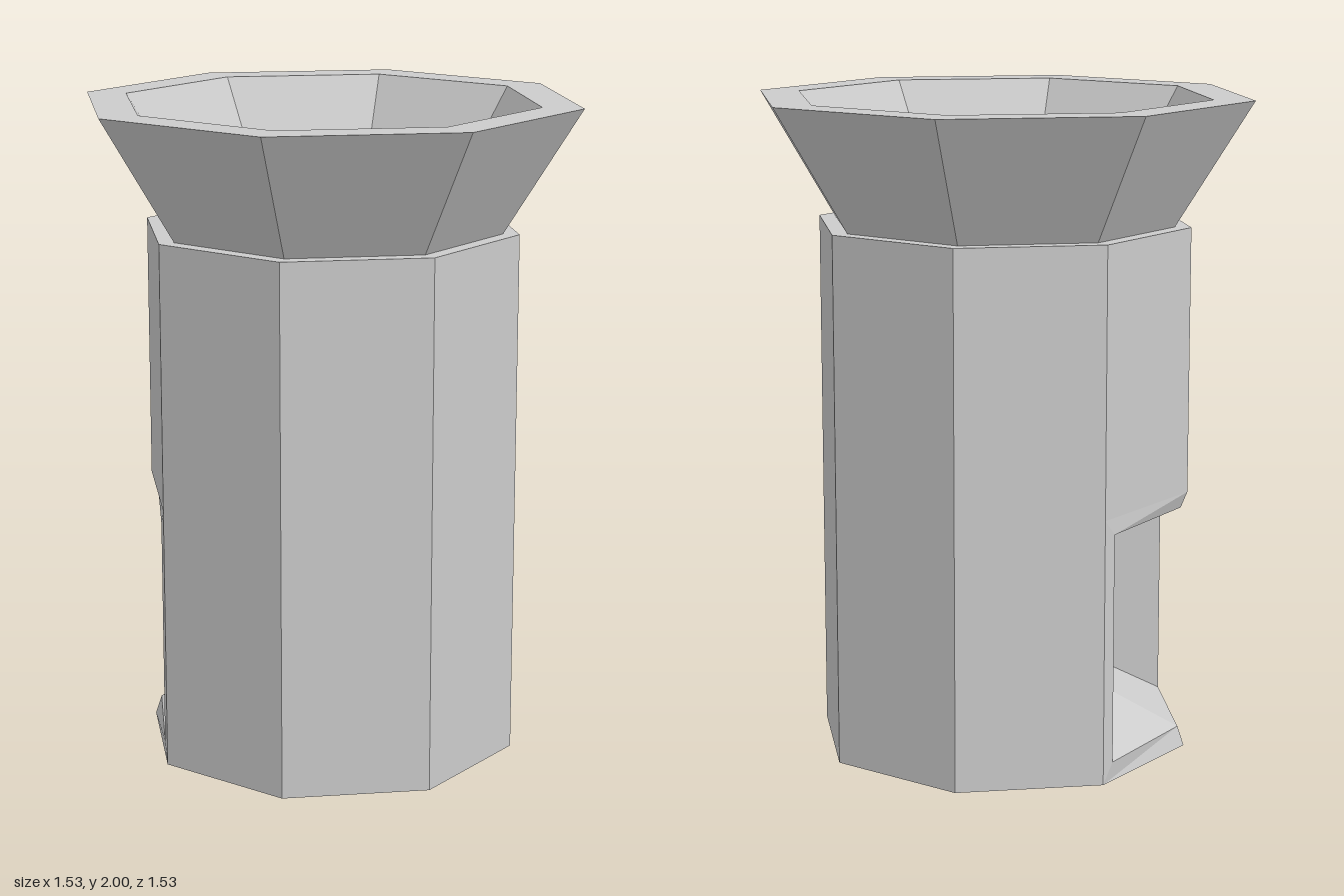
import * as THREE from 'three';

const SIDES = 8;
const R = 0.58;   // body radius
const H = 1.62;   // body height
const HATCH = 0.81; // top of the opening

const material = new THREE.MeshStandardMaterial({
  color: 0xcccccc, flatShading: true, side: THREE.DoubleSide,
});

// Point on the octagonal body, corners lying on the axes
const corner = (i, y) => {
  const a = (i / SIDES) * Math.PI * 2;
  return [R * Math.sin(a), y, R * Math.cos(a)];
};

// Flat mesh from a list of four-cornered faces
function quadMesh(name, quads) {
  const pos = [];
  for (const [a, b, c, d] of quads) pos.push(...a, ...b, ...c, ...a, ...c, ...d);
  const geo = new THREE.BufferGeometry();
  geo.setAttribute('position', new THREE.Float32BufferAttribute(pos, 3));
  geo.computeVertexNormals();
  const mesh = new THREE.Mesh(geo, material);
  mesh.name = name;
  return mesh;
}

// Six-point loop of a folded opening: side edges at (xSide, +-z), middle fold at xMid
const loop = (xSide, xMid, z, y0, y1) => [
  [xSide, y0, -z], [xMid, y0, 0], [xSide, y0, z],
  [xSide, y1, z], [xMid, y1, 0], [xSide, y1, -z],
];

// Ring of faces joining two loops
const strip = (a, b) => a.map((p, i) => {
  const j = (i + 1) % a.length;
  return [p, a[j], b[j], b[i]];
});

export function createModel() {
  const group = new THREE.Group();

  // Body walls, open underneath; two faces stop above the opening
  const walls = [];
  for (let i = 0; i < SIDES; i++) {
    const y0 = i === 5 || i === 6 ? HATCH : 0;
    walls.push([corner(i, y0), corner(i + 1, y0), corner(i + 1, H), corner(i, H)]);
  }
  group.add(quadMesh('body', walls));

  // Opening: frame around the edge, then a recess narrowing inward
  const d = R * Math.SQRT1_2;
  const outer = loop(-d, -R, d, 0, HATCH);
  const rim = loop(-0.43, -0.56, 0.37, 0.06, 0.76);
  const back = loop(0.1, 0.035, 0.18, 0.34, 0.75);
  group.add(quadMesh('openingFrame', strip(outer, rim)));
  group.add(quadMesh('recess', [
    ...strip(rim, back),
    [back[0], back[1], back[4], back[5]],
    [back[1], back[2], back[3], back[4]],
  ]));

  // Ledge, flared funnel, flat lip and basin floor
  const profile = [[R, H], [0.53, H], [0.765, 2], [0.64, 2], [0.4, H], [0, H]]
    .map(([x, y]) => new THREE.Vector2(x, y));
  const funnel = new THREE.Mesh(new THREE.LatheGeometry(profile, SIDES), material);
  funnel.name = 'funnel';
  group.add(funnel);

  return group;
}
